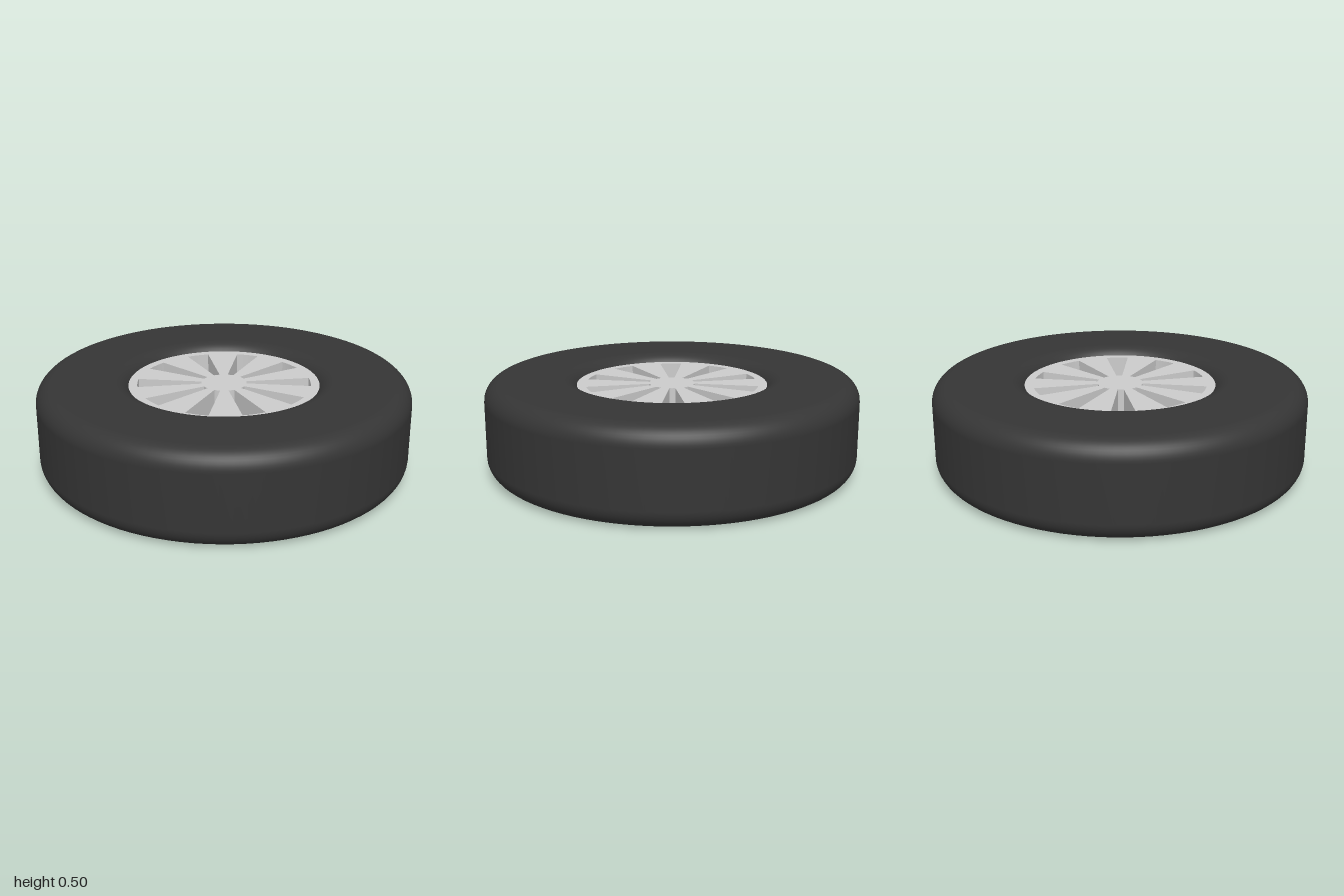
import * as THREE from 'three';

const HEIGHT = 0.5;
const OUTER = 1;
const INNER = 0.493;
const CORNER = 0.1;
const RIM_RADIUS = 0.512;
const RIM_BOTTOM = 0.042;
const SLOTS = 10;

// Rounded-rectangle cross-section, counter-clockwise from the middle of the inner wall
function tireProfile() {
  const points = [new THREE.Vector2(INNER, HEIGHT / 2)];
  const corners = [
    [INNER + CORNER, CORNER, Math.PI],
    [OUTER - CORNER, CORNER, 1.5 * Math.PI],
    [OUTER - CORNER, HEIGHT - CORNER, 0],
    [INNER + CORNER, HEIGHT - CORNER, 0.5 * Math.PI],
  ];
  const steps = 10;
  for (const [cx, cy, start] of corners) {
    for (let i = 0; i <= steps; i++) {
      const a = start + (i / steps) * Math.PI / 2;
      points.push(new THREE.Vector2(cx + CORNER * Math.cos(a), cy + CORNER * Math.sin(a)));
    }
  }
  points.push(points[0].clone());
  return points;
}

// Wedge-shaped opening between two spokes
function slotPath(angle) {
  const half = 0.132, inner = 0.122, outer = 0.465;
  const path = new THREE.Path();
  path.absarc(0, 0, outer, angle - half, angle + half, false);
  path.absarc(0, 0, inner, angle + half, angle - half, true);
  path.closePath();
  return path;
}

export function createModel() {
  const model = new THREE.Group();
  model.name = 'wheel';

  const tire = new THREE.Mesh(
    new THREE.LatheGeometry(tireProfile(), 96),
    new THREE.MeshStandardMaterial({ color: 0x353535 })
  );
  tire.name = 'tire';
  model.add(tire);

  // Thick rim with ten openings cut through it
  const disc = new THREE.Shape();
  disc.absarc(0, 0, RIM_RADIUS, 0, Math.PI * 2, false);
  for (let i = 0; i < SLOTS; i++) disc.holes.push(slotPath((i / SLOTS) * Math.PI * 2));
  const rimGeometry = new THREE.ExtrudeGeometry(disc, {
    depth: HEIGHT - 2 * RIM_BOTTOM,
    bevelEnabled: false,
    curveSegments: 40,
  });
  rimGeometry.rotateX(-Math.PI / 2);
  const rim = new THREE.Mesh(rimGeometry, new THREE.MeshStandardMaterial({ color: 0xcccccc }));
  rim.name = 'spokedRim';
  rim.position.y = RIM_BOTTOM;
  model.add(rim);

  return model;
}
